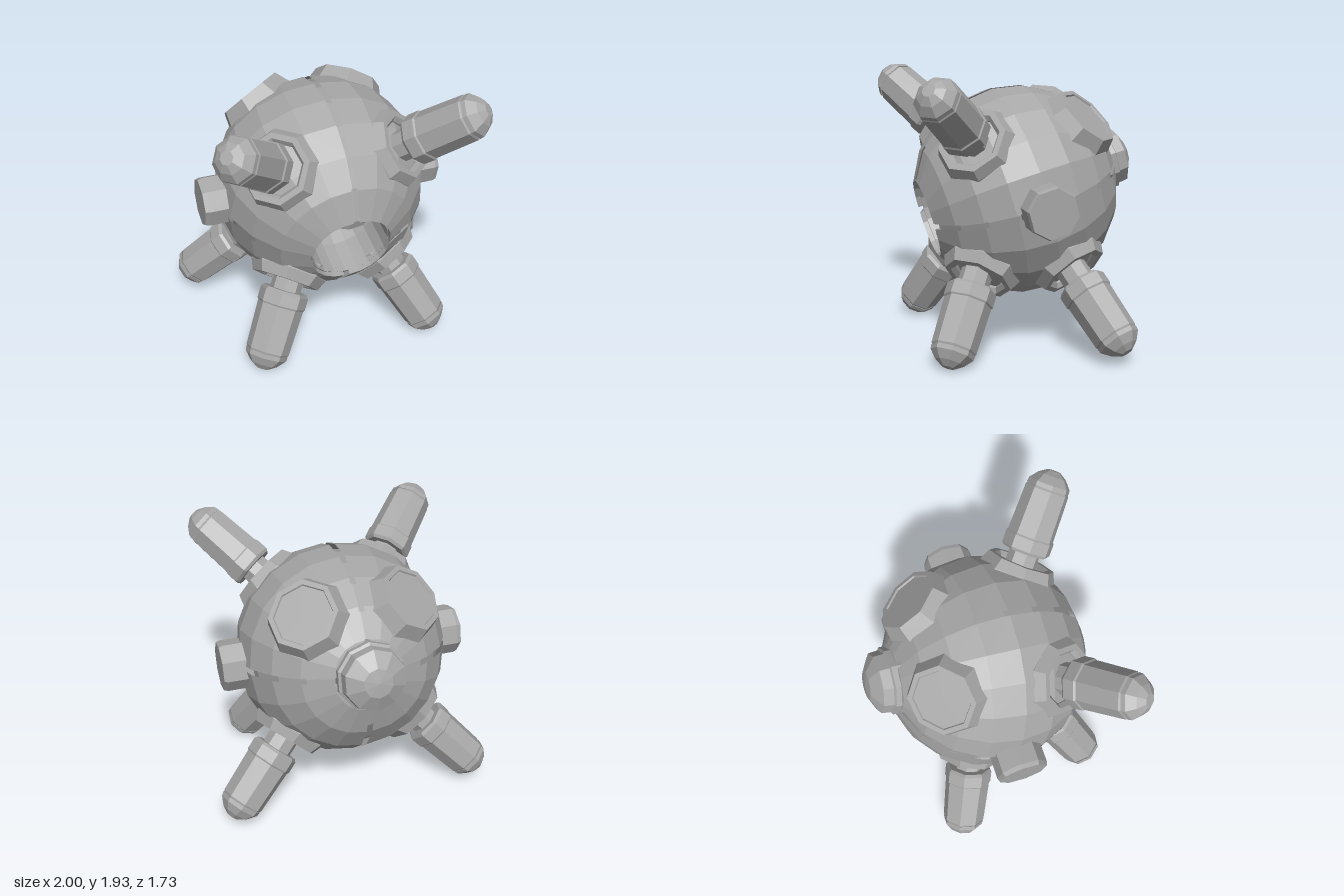
import * as THREE from 'three';

const grey = new THREE.MeshStandardMaterial({ color: 0xa6a6a6, flatShading: true, side: THREE.DoubleSide });
grey.name = 'hull grey';

const UP = new THREE.Vector3(0, 1, 0);
const CENTRE_Y = 1.074;
const TILT = 0.265;

// Faceted turned part; profile is [radius, height] from bottom to top
function turned(name, profile, sides = 8, start = Math.PI / 8, sweep = Math.PI * 2) {
  const points = profile.map(([r, h]) => new THREE.Vector2(r, h));
  const mesh = new THREE.Mesh(new THREE.LatheGeometry(points, sides, start, sweep), grey);
  mesh.name = name;
  return mesh;
}

function aim(object, direction) {
  object.quaternion.setFromUnitVectors(UP, direction.clone().normalize());
  return object;
}

// Points along an arc of the sphere, from the back pole to the mouth edge
function sphereArc(radius, mouthRadius, steps) {
  const mouthAngle = Math.asin(mouthRadius / radius);
  return Array.from({ length: steps + 1 }, (_, i) => {
    const a = Math.PI + (mouthAngle - Math.PI) * i / steps;
    return [Math.abs(radius * Math.sin(a)), radius * Math.cos(a)];
  });
}

function buildBody() {
  const body = new THREE.Group();
  body.name = 'body';

  // Four hull quarters, pulled apart to leave the seams
  const hull = new THREE.Group();
  hull.name = 'hull';
  hull.rotation.x = Math.PI / 2;
  const profile = [...sphereArc(0.724, 0.258, 9), [0.258, 0.61]];
  for (let k = 0; k < 4; k++) {
    const start = k * Math.PI / 2;
    const quarter = turned('hullQuarter', profile, 5, start, Math.PI / 2);
    const middle = start + Math.PI / 4;
    quarter.position.set(Math.sign(Math.sin(middle)) * 0.02, 0, Math.sign(Math.cos(middle)) * 0.02);
    hull.add(quarter);
  }
  // Inner core seen in the seams, and the hollow mouth
  hull.add(turned('innerCore', sphereArc(0.7, 0.275, 9), 20, 0));
  hull.add(turned('mouthBowl', [[0.275, 0.64], [0.272, 0.4], [0.25, 0.29], [0.15, 0.24], [0, 0.22]], 20, 0));
  body.add(hull);

  // Stepped nozzle in the top of the mouth
  const nozzle = turned('mouthNozzle', [[0, -0.07], [0.1, -0.06], [0.15, -0.03], [0.15, 0], [0.19, 0.01], [0.19, 0.07]], 12);
  nozzle.position.set(0, 0.165, 0.45);
  body.add(nozzle);

  // Stepped rear dome
  const dome = turned('rearDome', [[0.265, 0.58], [0.255, 0.64], [0.237, 0.65], [0.237, 0.73], [0.218, 0.74],
    [0.21, 0.81], [0.1, 0.87], [0, 0.88]], 10, 0);
  body.add(aim(dome, new THREE.Vector3(0, 0, -1)));

  // Octagonal side caps
  for (const side of [-1, 1]) {
    const cap = turned('sideCap', [[0.18, 0.62], [0.18, 0.845], [0.17, 0.875], [0, 0.875]]);
    cap.position.y = -0.005;
    body.add(aim(cap, new THREE.Vector3(side, 0, 0)));
  }
  body.rotation.x = TILT;
  return body;
}

// Raised octagonal socket around the foot of a leg
function buildSocket(direction) {
  return aim(turned('legSocket', [[0.285, 0.6], [0.275, 0.69], [0.24, 0.765], [0.2, 0.765],
    [0.175, 0.735], [0.17, 0.7], [0, 0.7]]), direction);
}

// Closed octagonal port with a shallow recessed lid
function buildPort(direction) {
  return aim(turned('closedPort', [[0.295, 0.58], [0.285, 0.67], [0.24, 0.785], [0.205, 0.785],
    [0.2, 0.773], [0, 0.773]]), direction);
}

// Leg measured back from its tip: neck, ring, tapered body and blunt end
function buildLeg(base, tip) {
  const leg = new THREE.Group();
  leg.name = 'leg';
  leg.add(
    turned('legNeck', [[0.11, -0.76], [0.11, -0.54]]),
    turned('legRing', [[0, -0.575], [0.158, -0.575], [0.174, -0.555], [0.174, -0.47], [0.162, -0.455]]),
    turned('legBody', [[0.166, -0.48], [0.155, -0.135], [0.146, -0.12]]),
    turned('legTip', [[0.152, -0.12], [0.148, -0.09], [0.1, -0.035], [0.045, 0], [0, 0]])
  );
  leg.position.copy(tip);
  return aim(leg, tip.clone().sub(base));
}

export function createModel() {
  const model = new THREE.Group();
  model.name = 'sphericalWalker';
  const parts = new THREE.Group();
  parts.name = 'parts';
  parts.add(buildBody());

  // Socket direction, then foot and tip of each leg, from the body centre
  const legs = [
    [[0.42, 0.4, 0.4], [0.42, 0.4, 0.4], [0.853, 0.798, 0.79]],
    [[0.4, -0.54, 0.39], [0.38, -0.54, 0.4], [0.665, -1.04, 0.66]],
    [[0.46, -0.47, -0.26], [0.46, -0.47, -0.25], [0.947, -0.96, -0.49]]
  ];
  for (const side of [-1, 1]) {
    const vec = ([x, y, z]) => new THREE.Vector3(x * side, y, z);
    for (const [socket, base, tip] of legs) {
      parts.add(buildSocket(vec(socket)), buildLeg(vec(base), vec(tip)));
    }
    parts.add(buildPort(vec([0.39, 0.58, -0.425])));
  }
  parts.position.y = CENTRE_Y;
  model.add(parts);
  return model;
}
